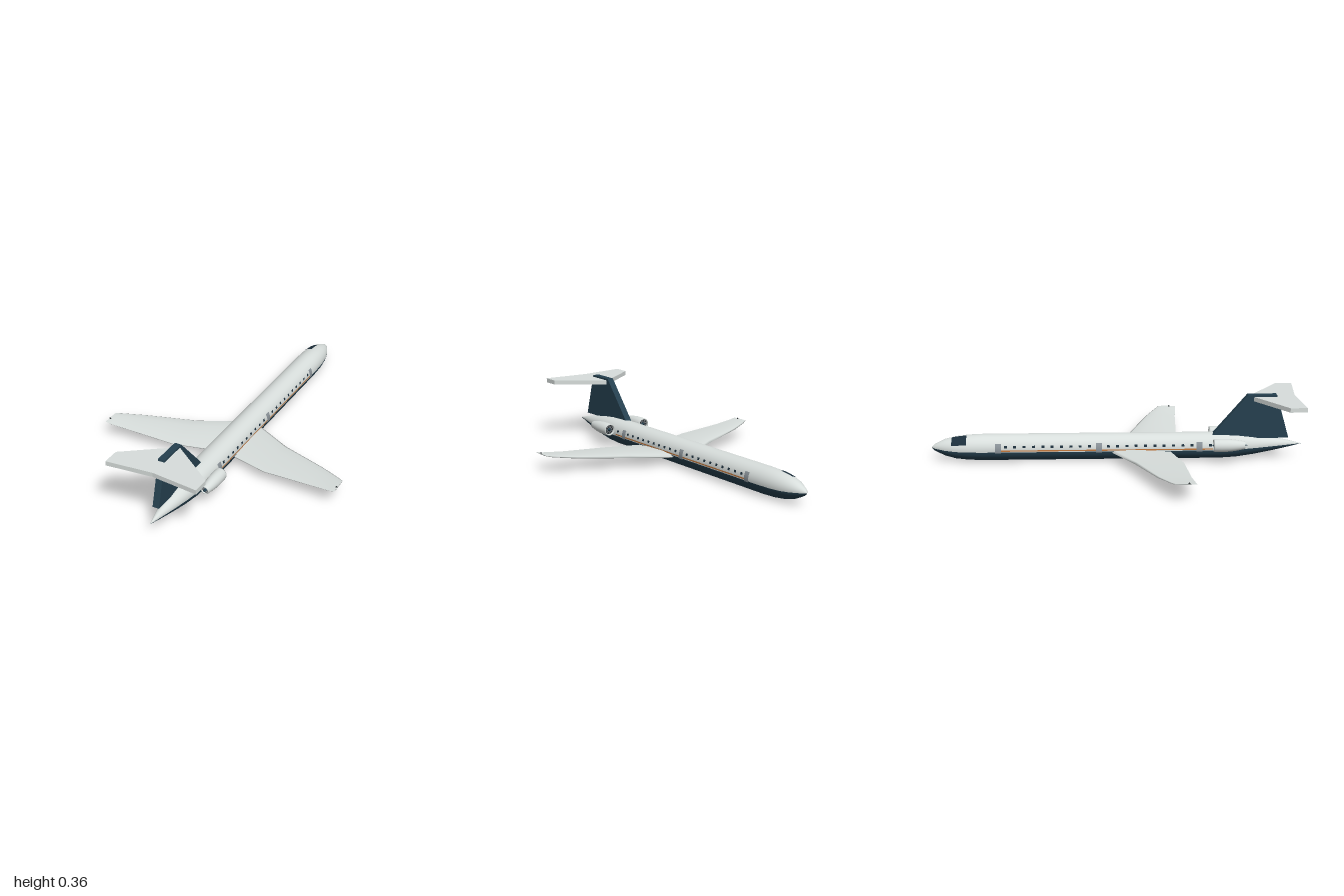
import * as THREE from 'three';

const mat = (name, color, side = THREE.FrontSide) => {
  const m = new THREE.MeshStandardMaterial({ color, side });
  m.name = name;
  return m;
};

// Fuselage stations: z, radius, centre height
const STATIONS = [
  [-1, 0.002, 0.071], [-0.985, 0.017, 0.071], [-0.96, 0.03, 0.071], [-0.925, 0.046, 0.071],
  [-0.87, 0.06, 0.07], [-0.8, 0.068, 0.07], [-0.72, 0.071, 0.07], [0.55, 0.071, 0.07],
  [0.64, 0.067, 0.071], [0.74, 0.055, 0.073], [0.84, 0.037, 0.074], [0.93, 0.018, 0.074], [1, 0.001, 0.073],
];

function station(z) {
  let i = 0;
  while (i < STATIONS.length - 2 && z > STATIONS[i + 1][0]) i++;
  const [a, b] = [STATIONS[i], STATIONS[i + 1]];
  const t = (z - a[0]) / (b[0] - a[0]);
  return [a[1] + (b[1] - a[1]) * t, a[2] + (b[2] - a[2]) * t];
}

// Piece of hull skin between two z values and two angles (degrees from +x towards +y)
function skin(z0, z1, a0, a1, lift = 0) {
  const zs = [z0, ...STATIONS.map(s => s[0]).filter(z => z > z0 && z < z1), z1];
  const n = Math.max(2, Math.ceil((a1 - a0) / 7));
  const pos = [], idx = [];
  zs.forEach((z, j) => {
    const [r, cy] = station(z);
    for (let i = 0; i <= n; i++) {
      const a = THREE.MathUtils.degToRad(a0 + (a1 - a0) * i / n);
      pos.push(Math.cos(a) * (r * 1.02 + lift), cy + Math.sin(a) * (r + lift), z);
      if (j < zs.length - 1 && i < n) {
        const p = j * (n + 1) + i, q = p + n + 1;
        idx.push(p, p + 1, q + 1, p, q + 1, q);
      }
    }
  });
  return indexed(pos, idx);
}

function indexed(pos, idx) {
  const g = new THREE.BufferGeometry();
  g.setAttribute('position', new THREE.Float32BufferAttribute(pos, 3));
  g.setIndex(idx);
  g.computeVertexNormals();
  return g;
}

// Wing lofted through airfoil sections; s is +1 or -1 for the side
function wingGeometry(s) {
  const sections = [ // x, leading z, trailing z, height, thickness
    [0.03, -0.05, 0.275, 0.051, 0.032], [0.07, -0.03, 0.285, 0.053, 0.031], [0.27, 0.08, 0.34, 0.058, 0.024],
    [0.535, 0.185, 0.355, 0.074, 0.014], [0.65, 0.245, 0.367, 0.085, 0.009], [0.68, 0.265, 0.368, 0.091, 0.006],
  ];
  const foil = [[0, 0], [0.06, 0.3], [0.3, 0.5], [0.65, 0.38], [1, 0.08], [1, -0.08], [0.65, -0.38], [0.3, -0.5], [0.06, -0.3]];
  const n = foil.length, pos = [], idx = [];
  const tri = (a, b, c) => s > 0 ? idx.push(a, b, c) : idx.push(a, c, b);
  sections.forEach(([x, le, te, y, t], j) => {
    foil.forEach(([c, h], i) => {
      pos.push(s * x, y + h * t, le + c * (te - le));
      if (j === sections.length - 1) return;
      const p = j * n + i, q = j * n + (i + 1) % n;
      tri(p, q, q + n);
      tri(p, q + n, p + n);
    });
  });
  const last = (sections.length - 1) * n;
  for (let i = 1; i < n - 1; i++) tri(last, last + i, last + i + 1);
  return indexed(pos, idx);
}

// Flat slab from an outline
function slab(points, depth) {
  const shape = new THREE.Shape(points.map(p => new THREE.Vector2(...p)));
  return new THREE.ExtrudeGeometry(shape, { depth, bevelEnabled: false });
}

export function createModel() {
  const model = new THREE.Group();
  model.name = 'airliner';
  const white = mat('pale grey paint', 0xd8dedc);
  const shell = mat('pale grey shell', 0xd8dedc, THREE.DoubleSide);
  const navy = mat('navy paint', 0x25404f);
  const orange = mat('orange stripe', 0xc87a3c);
  const glass = mat('dark glass', 0x1c2f3c);
  const grey = mat('door grey', 0x8c949a);
  const dark = mat('engine dark', 0x2c3033);
  const add = (parent, name, geometry, material) => {
    const m = new THREE.Mesh(geometry, material);
    m.name = name;
    parent.add(m);
    return m;
  };

  // Hull in two colours
  add(model, 'upperFuselage', skin(-1, 1, -8, 188), white);
  add(model, 'lowerFuselage', skin(-1, 1, 188, 352), navy);
  add(model, 'cockpitWindow', skin(-0.89, -0.81, 95, 155, 0.0015), glass);

  // Stripe, doors and cabin windows on both flanks
  const doors = [0.44, -0.1, -0.64];
  for (const s of [1, -1]) {
    const side = s > 0 ? 'left' : 'right';
    const flank = (name, z0, z1, a0, a1, lift, m) =>
      add(model, side + name, s > 0 ? skin(z0, z1, a0, a1, lift) : skin(z0, z1, 180 - a1, 180 - a0, lift), m);
    flank('Stripe', -0.65, 0.52, -4, 1.5, 0.001, orange);
    doors.forEach(z => flank('Door', z - 0.016, z + 0.016, -11, 30, 0.002, grey));
    for (let i = 0; i < 23; i++) {
      const z = 0.5 - i * 0.05;
      if (doors.some(d => Math.abs(d - z) < 0.028)) continue;
      flank('Window', z - 0.008, z + 0.008, 11, 21, 0.0015, glass);
    }

    // Wing with a small tip lamp
    add(model, side + 'Wing', wingGeometry(s), white);
    const lamp = add(model, side + 'TipLamp', new THREE.SphereGeometry(0.005, 8, 6), dark);
    lamp.position.set(s * 0.675, 0.093, 0.33);

    // Rear engine, axis along z
    const engine = new THREE.Group();
    engine.name = side + 'Engine';
    engine.position.set(s * 0.117, 0.103, 0.51);
    model.add(engine);
    const profile = [[0.027, 0.03], [0.028, 0.004], [0.031, 0], [0.034, 0.006], [0.035, 0.04], [0.034, 0.085],
      [0.029, 0.125], [0.021, 0.168], [0.018, 0.168], [0.02, 0.14]];
    add(engine, 'nacelle', new THREE.LatheGeometry(profile.map(p => new THREE.Vector2(...p)), 24), shell).rotation.x = Math.PI / 2;
    for (const [end, z, r, dir] of [['intake', 0.014, 0.028, -1], ['exhaust', 0.158, 0.02, 1]]) {
      const disc = add(engine, end + 'Disc', new THREE.CircleGeometry(r, 20), dark);
      disc.position.z = z;
      if (dir < 0) disc.rotation.y = Math.PI;
      for (let i = 0; i < 10; i++) {
        const blade = add(engine, end + 'Blade', new THREE.BoxGeometry(0.003, r * 0.55, 0.002), grey);
        const a = i * Math.PI / 5;
        blade.position.set(Math.sin(a) * r * 0.65, Math.cos(a) * r * 0.65, z + dir * 0.002);
        blade.rotation.z = -a;
      }
      const cone = add(engine, end + 'Cone', new THREE.ConeGeometry(0.009, 0.024, 14), navy);
      cone.position.z = z + dir * 0.012;
      cone.rotation.x = dir * Math.PI / 2;
    }
  }

  // Tail fin: outline in (-z, y), turned upright
  const fin = add(model, 'tailFin',
    slab([[-0.925, 0.115], [-0.515, 0.115], [-0.515, 0.137], [-0.7, 0.355], [-0.855, 0.355]], 0.036), navy);
  fin.rotation.y = Math.PI / 2;
  fin.position.x = -0.031;

  // High tailplane: outline in (x, z), laid flat
  const tailplane = add(model, 'tailplane',
    slab([[0, 0.71], [0.25, 0.89], [0.25, 0.98], [0, 0.955], [-0.25, 0.98], [-0.25, 0.89]], 0.024), white);
  tailplane.rotation.x = Math.PI / 2;
  tailplane.position.y = 0.345;

  return model;
}
